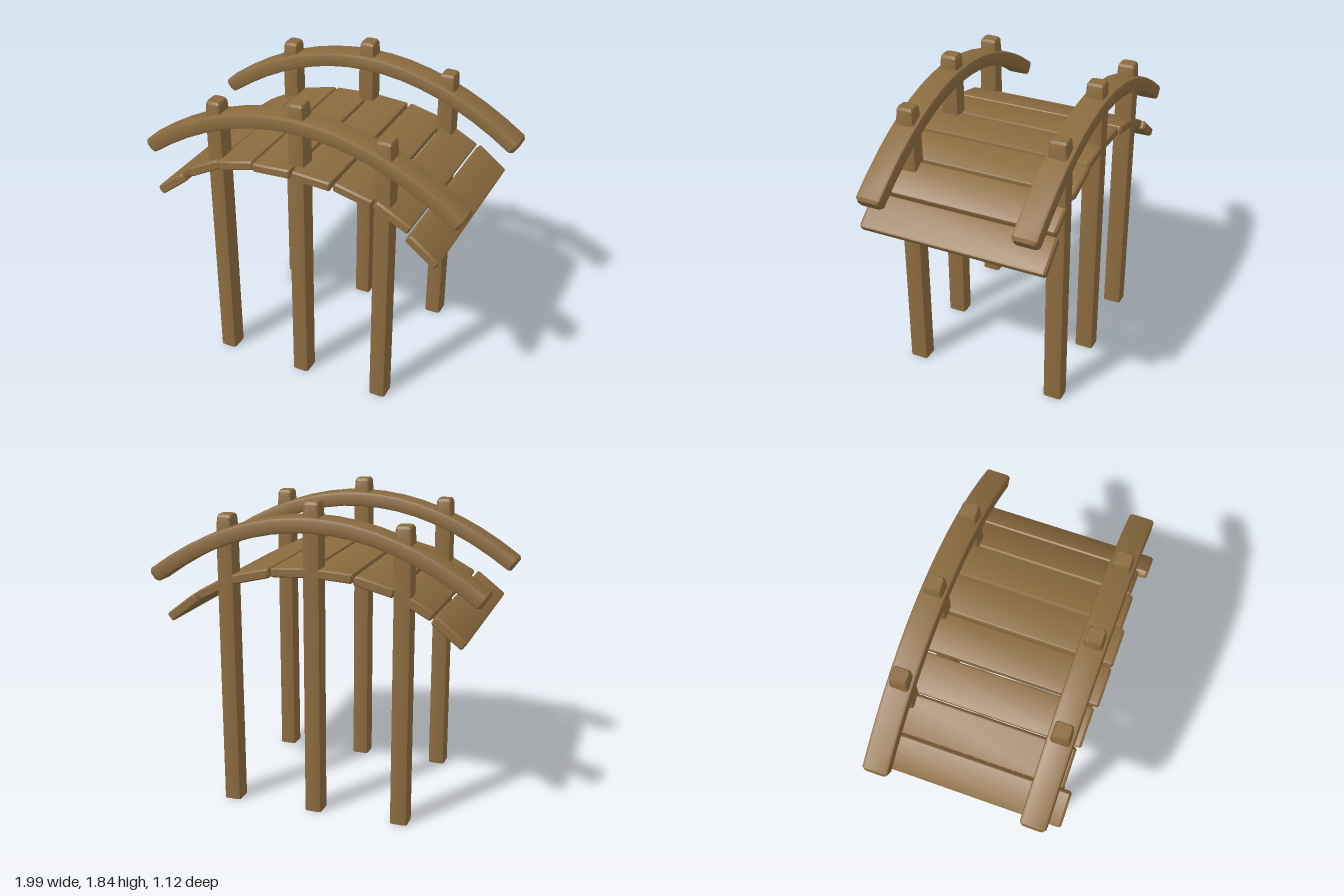
import * as THREE from 'three';
import { toCreasedNormals } from 'three/addons/utils/BufferGeometryUtils.js';

const wood = new THREE.MeshStandardMaterial({ color: 0x8b6b3f });
const openWood = new THREE.MeshStandardMaterial({ color: 0x8b6b3f, side: THREE.DoubleSide });

// Rectangle outline with rounded corners, counter-clockwise
function section(w, h, r) {
  const pts = [];
  for (let c = 0; c < 4; c++) {
    const cx = (c === 0 || c === 3 ? 1 : -1) * (w / 2 - r);
    const cy = (c < 2 ? 1 : -1) * (h / 2 - r);
    for (let k = 0; k <= 2; k++) {
      const a = (c + k / 2) * Math.PI / 2;
      pts.push([cx + r * Math.cos(a), cy + r * Math.sin(a)]);
    }
  }
  return pts;
}

// Beam along +z: each ring is [z, inset]; the start may be left open
function beam(w, h, r, rings, capStart = true) {
  const pos = [], idx = [];
  const n = 12;
  for (const [z, inset] of rings) {
    for (const [x, y] of section(w - 2 * inset, h - 2 * inset, r)) pos.push(x, y, z);
  }
  for (let i = 0; i < rings.length - 1; i++) {
    for (let j = 0; j < n; j++) {
      const a = i * n + j, b = i * n + (j + 1) % n;
      idx.push(a, b, b + n, a, b + n, a + n);
    }
  }
  const last = (rings.length - 1) * n;
  for (let j = 1; j < n - 1; j++) {
    if (capStart) idx.push(0, j + 1, j);
    idx.push(last, last + j, last + j + 1);
  }
  const g = new THREE.BufferGeometry();
  g.setAttribute('position', new THREE.Float32BufferAttribute(pos, 3));
  g.setIndex(idx);
  return g;
}

function addMesh(group, name, geometry, material = wood) {
  const mesh = new THREE.Mesh(toCreasedNormals(geometry, 0.5), material);
  mesh.name = name;
  group.add(mesh);
  return mesh;
}

// Handrail bent along a parabola
function railGeometry() {
  const rings = [[-0.975, 0.012], [-0.96, 0]];
  for (let i = 1; i < 16; i++) rings.push([-0.96 + 0.12 * i, 0]);
  rings.push([0.96, 0], [0.975, 0.012]);
  const g = beam(0.15, 0.09, 0.018, rings).rotateY(Math.PI / 2);
  const p = g.attributes.position;
  for (let i = 0; i < p.count; i++) {
    const x = p.getX(i), y = p.getY(i);
    const angle = Math.atan(-0.755 * x);
    p.setXY(i, x - y * Math.sin(angle), 1.715 - 0.3775 * x * x + y * Math.cos(angle));
  }
  return g;
}

export function createModel() {
  const model = new THREE.Group();
  model.name = 'archedFootbridge';

  // Deck planks, mirrored about the crown: x, y, tilt, width, front z, back z
  const planks = [
    [0.123, 1.438, 0.06, 0.235, 0.55, -0.54],
    [0.365, 1.4, 0.24, 0.235, 0.53, -0.55],
    [0.59, 1.313, 0.49, 0.235, 0.51, -0.54],
    [0.79, 1.183, 0.66, 0.22, 0.56, -0.56],
  ];
  const deck = new THREE.Group();
  deck.name = 'deck';
  model.add(deck);
  for (const side of [-1, 1]) {
    for (const [x, y, tilt, width, front, back] of planks) {
      const g = beam(width, 0.055, 0.012,
        [[back, 0.008], [back + 0.012, 0], [front - 0.012, 0], [front, 0.008]]);
      const plank = addMesh(deck, 'plank', g);
      plank.position.set(side * x, y, 0);
      plank.rotation.z = -side * tilt;
    }
  }

  for (const [name, postZ, railZ] of [['front', 0.425, 0.425], ['back', -0.483, -0.485]]) {
    // Posts, open underneath, with narrowed heads
    for (const [x, top] of [[-0.523, 1.74], [0, 1.84], [0.52, 1.74]]) {
      const g = beam(0.102, 0.115, 0.016,
        [[0, 0], [top - 0.1, 0.001], [top - 0.015, 0.006], [top, 0.014]], false);
      g.rotateX(-Math.PI / 2);
      addMesh(model, name + 'Post', g, openWood).position.set(x, 0, postZ);
    }
    addMesh(model, name + 'Handrail', railGeometry()).position.z = railZ;
  }

  return model;
}
